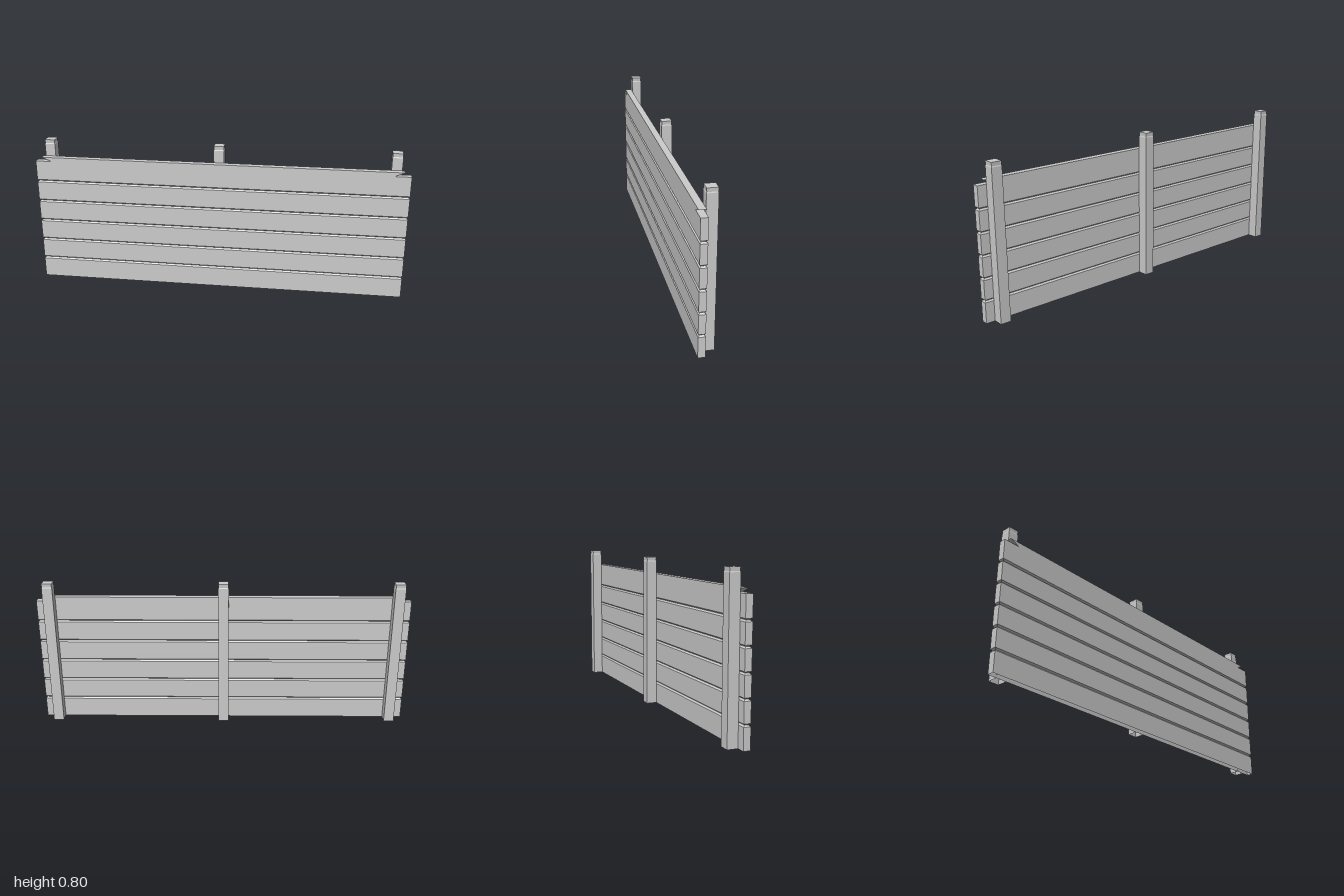
import * as THREE from 'three';

const material = new THREE.MeshStandardMaterial({ color: 0xcccccc, flatShading: true, side: THREE.DoubleSide });

// Stacks rectangular rings [y, halfWidth, halfDepth] into a shell, closed on top, open below
function loft(rings) {
  const pos = [];
  const corners = rings.map(([y, w, d]) => [[w, y, d], [w, y, -d], [-w, y, -d], [-w, y, d]]);
  const quad = (a, b, c, d) => pos.push(...a, ...b, ...c, ...a, ...c, ...d);
  for (let i = 0; i < corners.length - 1; i++) {
    for (let j = 0; j < 4; j++) {
      const k = (j + 1) % 4;
      quad(corners[i][j], corners[i][k], corners[i + 1][k], corners[i + 1][j]);
    }
  }
  quad(...corners[corners.length - 1]);
  const geo = new THREE.BufferGeometry();
  geo.setAttribute('position', new THREE.Float32BufferAttribute(pos, 3));
  geo.computeVertexNormals();
  return geo;
}

function addMesh(parent, name, geo, x, z) {
  const mesh = new THREE.Mesh(geo, material);
  mesh.name = name;
  mesh.position.set(x, 0, z);
  parent.add(mesh);
}

export function createModel() {
  const group = new THREE.Group();
  group.name = 'fence';

  // Six boards separated by V grooves that run all the way round
  const depth = 0.0178, pitch = 0.115, bevel = 0.0075;
  const rings = [[0, 1, depth]];
  for (let i = 1; i < 6; i++) {
    const y = i * pitch;
    rings.push([y - bevel, 1, depth], [y, 0.991, 0.0095], [y + bevel, 1, depth]);
  }
  // Stepped top edge whose ends undercut the upper lip
  rings.push([0.688, 1, depth], [0.688, 0.912, depth], [0.71, 0.965, depth]);
  addMesh(group, 'boards', loft(rings), 0, 0.0272);

  // Three posts behind the boards, each with a slightly necked cap
  const post = loft([
    [0, 0.0275, 0.0275], [0.776, 0.0275, 0.0275], [0.781, 0.0255, 0.0255], [0.8, 0.0267, 0.0267],
  ]);
  ['rightPost', 'middlePost', 'leftPost'].forEach((name, i) => addMesh(group, name, post, (i - 1) * 0.925, -0.0175));

  return group;
}
